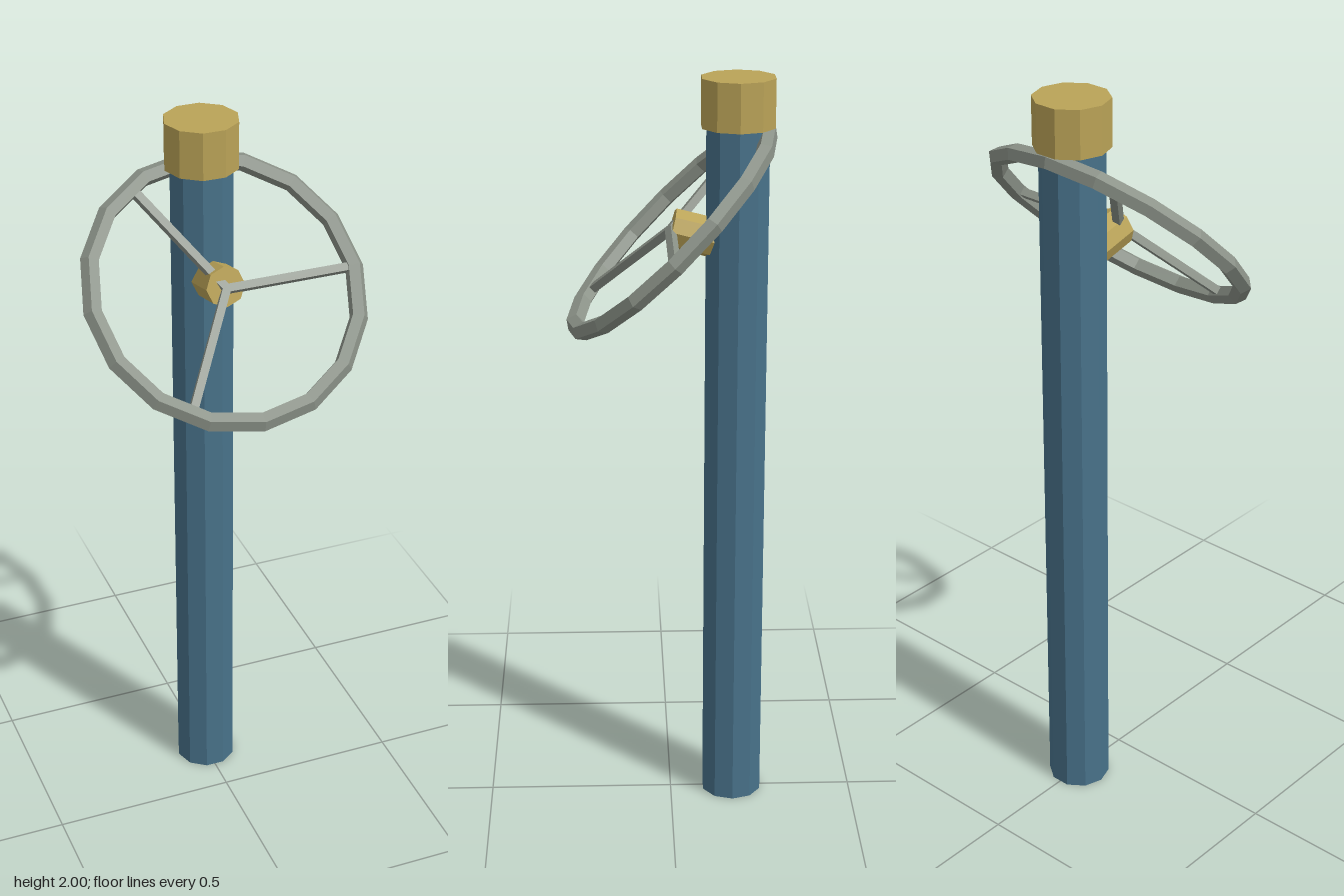
import * as THREE from 'three';

const PIPE_Z = -0.17;
const WHEEL_Y = 1.61;
const RIM_RADIUS = 0.35;

function makeMaterial(name, color) {
  const material = new THREE.MeshStandardMaterial({ color, flatShading: true });
  material.name = name;
  return material;
}

function addMesh(parent, name, geometry, material) {
  const mesh = new THREE.Mesh(geometry, material);
  mesh.name = name;
  parent.add(mesh);
  return mesh;
}

export function createModel() {
  const model = new THREE.Group();
  model.name = 'pipeWithHandwheel';
  const blue = makeMaterial('bluePaint', 0x48728a);
  const brass = makeMaterial('brass', 0xbaa357);
  const steel = makeMaterial('greySteel', 0x8c9389);

  // Ten-sided upright pipe and the wider cap on top
  const pipe = addMesh(model, 'pipe', new THREE.CylinderGeometry(0.083, 0.083, 1.88, 10), blue);
  pipe.position.set(0, 0.94, PIPE_Z);
  pipe.rotation.y = Math.PI / 2;
  const cap = addMesh(model, 'cap', new THREE.CylinderGeometry(0.097, 0.097, 0.125, 10), brass);
  cap.position.set(0, 1.9375, PIPE_Z);
  cap.rotation.y = Math.PI / 2;

  // Hub stub, running back and slightly down into the pipe
  const hubGeometry = new THREE.CylinderGeometry(0.052, 0.052, 0.12, 8);
  hubGeometry.translate(0, -0.06, 0);
  const hub = addMesh(model, 'hub', hubGeometry, brass);
  hub.position.set(0, 1.615, -0.003);
  hub.rotation.x = Math.PI / 2 - 0.25;

  // Handwheel leaning back at 45 degrees
  const wheel = new THREE.Group();
  wheel.name = 'handwheel';
  wheel.position.y = WHEEL_Y;
  wheel.rotation.x = -Math.PI / 4;
  model.add(wheel);
  addMesh(wheel, 'rim', new THREE.TorusGeometry(RIM_RADIUS, 0.0245, 5, 16), steel);

  // Three square spokes from the centre to the rim
  const spokeGeometry = new THREE.BoxGeometry(RIM_RADIUS, 0.021, 0.021);
  spokeGeometry.translate(RIM_RADIUS / 2, 0, 0);
  for (let i = 0; i < 3; i++) {
    const spoke = addMesh(wheel, 'spoke', spokeGeometry, steel);
    spoke.rotation.z = (i * Math.PI * 2) / 3;
  }

  return model;
}
